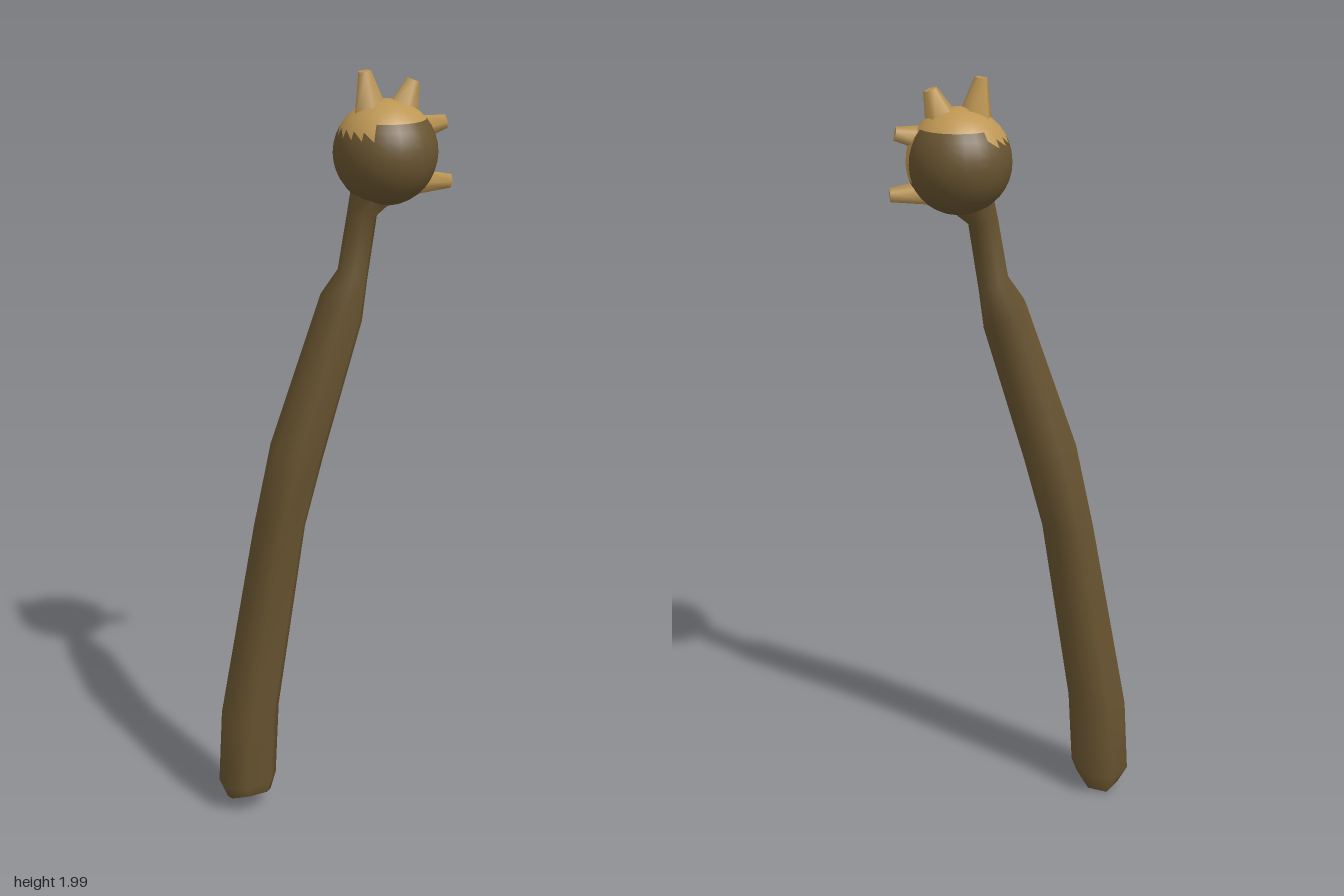
import * as THREE from 'three';

const wood = new THREE.MeshStandardMaterial({ color: 0x67532f });
wood.name = 'dark wood';
const bone = new THREE.MeshStandardMaterial({ color: 0xbd9653 });
bone.name = 'pale tan';

const SIDES = 7;
// Cross-sections of the shaft: [x, y, z, radius x, radius z, slope along x, slope along z]
const rings = [
  [-0.235, 0.04, 0.01, 0.06, 0.066, 0.1, 0.48],
  [-0.238, 0.085, 0.003, 0.08, 0.085, 0.1, 0.2],
  [-0.226, 0.29, -0.002, 0.08, 0.077, 0.15, 0],
  [-0.138, 0.82, -0.002, 0.069, 0.074, 0, 0],
  [-0.09, 1.03, 0, 0.069, 0.07, -0.35, 0],
  [0.03, 1.41, 0, 0.054, 0.056, -0.7, 0],
  [0.058, 1.49, 0, 0.038, 0.036, -0.5, 0],
  [0.083, 1.65, 0, 0.038, 0.036, -0.2, 0],
  [0.125, 1.71, 0, 0.07, 0.062, -0.1, 0],
];

function shaftGeometry() {
  const pos = [], index = [];
  for (const [x, y, z, rx, rz, sx, sz] of rings) {
    for (let i = 0; i < SIDES; i++) {
      const a = (i / SIDES) * Math.PI * 2;
      const dx = Math.cos(a) * rx, dz = Math.sin(a) * rz;
      pos.push(x + dx, y + dx * sx + dz * sz, z + dz);
    }
  }
  for (let r = 0; r < rings.length - 1; r++) {
    for (let i = 0; i < SIDES; i++) {
      const a = r * SIDES + i, b = r * SIDES + (i + 1) % SIDES;
      index.push(a, a + SIDES, b, b, a + SIDES, b + SIDES);
    }
  }
  const g = new THREE.BufferGeometry();
  g.setAttribute('position', new THREE.Float32BufferAttribute(pos, 3));
  g.setIndex(index);
  g.computeVertexNormals();
  return g;
}

// Flat cut at the foot of the shaft
function footGeometry() {
  const [x, y, z, rx, rz, sx, sz] = rings[0];
  const g = new THREE.CircleGeometry(1, SIDES).rotateX(Math.PI / 2);
  const p = g.attributes.position;
  for (let i = 0; i < p.count; i++) {
    const dx = p.getX(i) * rx, dz = p.getZ(i) * rz;
    p.setXYZ(i, x + dx, y + dx * sx + dz * sz, z + dz);
  }
  g.computeVertexNormals();
  return g;
}

// Ball whose faces are sorted into a dark body and a ragged pale crown
function headGeometry(radius) {
  const g = new THREE.SphereGeometry(radius, 24, 18);
  const p = g.attributes.position, idx = g.index.array;
  const dark = [], pale = [];
  for (let i = 0; i < idx.length; i += 3) {
    const tri = [idx[i], idx[i + 1], idx[i + 2]];
    const mid = (axis) => tri.reduce((s, v) => s + p.getComponent(v, axis), 0) / 3;
    const x = mid(0), y = mid(1), z = mid(2);
    const edge = x < -0.05 ? 0.055 : 0.086;
    const sidePatch = x > 0.1 && Math.abs(z) < 0.03 && y > -0.05;
    (y > edge || sidePatch ? pale : dark).push(...tri);
  }
  g.setIndex([...dark, ...pale]);
  g.clearGroups();
  g.addGroup(0, dark.length, 0);
  g.addGroup(dark.length, pale.length, 1);
  return g;
}

export function createModel() {
  const club = new THREE.Group();
  club.name = 'club';
  const add = (name, geometry, material) => {
    const m = new THREE.Mesh(geometry, material);
    m.name = name;
    club.add(m);
    return m;
  };

  add('shaft', shaftGeometry(), wood);
  add('shaftFoot', footGeometry(), wood);
  add('head', headGeometry(0.131), [wood, bone]).position.set(0.142, 1.8, 0);

  // Blunt five-sided spikes: [base, tip, base radius, tip radius]
  const spikes = [
    [[0.103, 1.88, 0], [0.085, 2.0, 0], 0.05, 0.017],
    [[0.175, 1.88, 0], [0.21, 1.975, 0], 0.05, 0.018],
    [[0.215, 1.855, 0], [0.297, 1.87, 0], 0.036, 0.018],
    [[0.205, 1.725, 0], [0.313, 1.72, 0], 0.036, 0.018],
  ];
  const up = new THREE.Vector3(0, 1, 0);
  spikes.forEach(([from, to, r0, r1], i) => {
    const a = new THREE.Vector3(...from), b = new THREE.Vector3(...to);
    const dir = b.clone().sub(a);
    const g = new THREE.CylinderGeometry(r1, r0, dir.length(), 5);
    const spike = add(`spike${i + 1}`, g, bone);
    spike.position.copy(a).add(b).multiplyScalar(0.5);
    spike.quaternion.setFromUnitVectors(up, dir.normalize());
  });
  return club;
}
